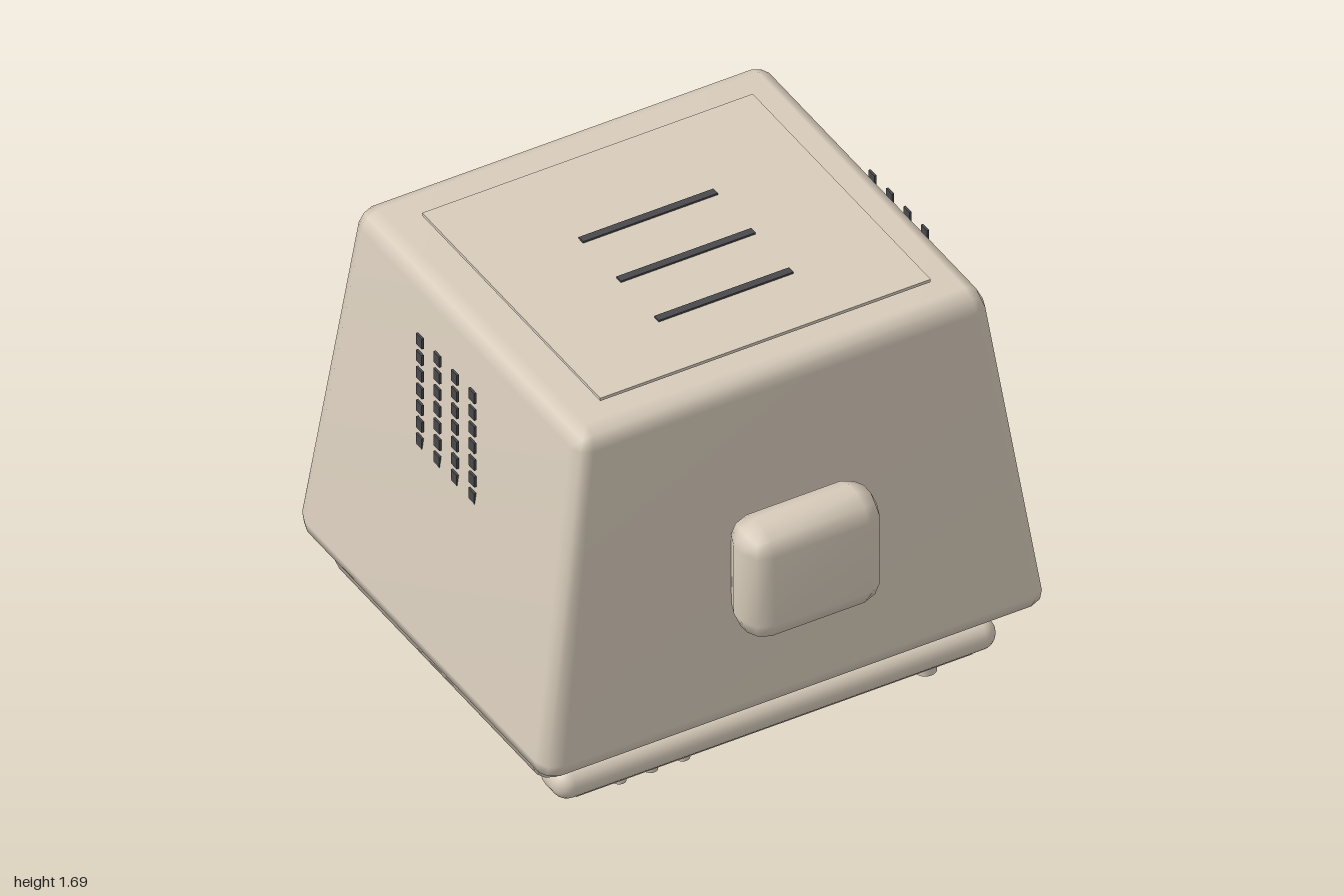
import * as THREE from 'three';
import { RoundedBoxGeometry } from 'three/addons/geometries/RoundedBoxGeometry.js';
import { mergeVertices } from 'three/addons/utils/BufferGeometryUtils.js';

const material = (name, color) => {
  const m = new THREE.MeshStandardMaterial({ color });
  m.name = name;
  return m;
};

// Box whose edges are rounded by two facets; taper gives x and z scale at the top
function bevelledBox(w, h, d, r, taperX = 1, taperZ = 1) {
  let g = new THREE.BoxGeometry(1, 1, 1, 3, 3, 3);
  const p = g.attributes.position;
  const core = new THREE.Vector3(w / 2 - r, h / 2 - r, d / 2 - r);
  const v = new THREE.Vector3();
  const outward = (c) => (Math.abs(c) > 0.4 ? Math.sign(c) : 0);
  for (let i = 0; i < p.count; i++) {
    v.fromBufferAttribute(p, i);
    const side = new THREE.Vector3(Math.sign(v.x), Math.sign(v.y), Math.sign(v.z));
    const dir = new THREE.Vector3(outward(v.x), outward(v.y), outward(v.z)).normalize();
    v.copy(core).multiply(side).addScaledVector(dir, r);
    const t = (v.y + core.y) / (2 * core.y);
    p.setXYZ(i, v.x * (1 + (taperX - 1) * t), v.y, v.z * (1 + (taperZ - 1) * t));
  }
  g.deleteAttribute('normal');
  g.deleteAttribute('uv');
  g = mergeVertices(g, 1e-5);
  g.computeVertexNormals();
  return g;
}

// Shallow bulging sheet facing down
function screenDome(w, d, bulge) {
  const g = new THREE.PlaneGeometry(w, d, 32, 24).rotateX(Math.PI / 2);
  const p = g.attributes.position;
  for (let i = 0; i < p.count; i++) {
    const u = (2 * p.getX(i)) / w;
    const v = (2 * p.getZ(i)) / d;
    p.setY(i, -bulge * (1 - u ** 8) * (1 - v ** 8));
  }
  g.computeVertexNormals();
  return g;
}

export function createModel() {
  const root = new THREE.Group();
  const beige = material('casing beige', 0xd8ccbb);
  const dark = material('vent charcoal', 0x49494d);
  const glass = material('screen grey', 0xd2cbb8);

  const add = (name, geometry, mat, x = 0, y = 0, z = 0, parent = root) => {
    const mesh = new THREE.Mesh(geometry, mat);
    mesh.name = name;
    mesh.position.set(x, y, z);
    parent.add(mesh);
    return mesh;
  };

  // Boxes given by their limits on each axis, optionally with rounded edges
  const box = (name, mat, [x0, x1], [y0, y1], [z0, z1], radius = 0, parent = root) => {
    const size = [x1 - x0, y1 - y0, z1 - z0];
    const g = radius ? bevelledBox(...size, radius) : new THREE.BoxGeometry(...size);
    return add(name, g, mat, (x0 + x1) / 2, (y0 + y1) / 2, (z0 + z1) / 2, parent);
  };

  const group = (name) => {
    const g = new THREE.Group();
    g.name = name;
    root.add(g);
    return g;
  };

  // Casing: narrows towards the top
  add('casing', bevelledBox(2, 1.382, 1.7, 0.073, 0.82, 0.902), beige, 0, 0.963, -0.08);

  // Top panel with its three slits
  box('topPanel', beige, [-0.655, 0.655], [1.67, 1.682], [-0.65, 0.55]);
  const slits = group('topSlits');
  for (const z of [-0.24, 0.015, 0.27]) {
    box('slit', dark, [-0.267, 0.267], [1.682, 1.689], [z - 0.015, z + 0.015], 0, slits);
  }

  // Vents on both sides
  const sideVents = group('sideVents');
  for (const x of [-0.897, 0.897]) {
    for (let row = 0; row < 7; row++) {
      for (let col = 0; col < 4; col++) {
        add('sideVent', new THREE.BoxGeometry(0.009, 0.045, 0.04), dark,
          x, 1.056 + row * 0.072, 0.1 - col * 0.118, sideVents);
      }
    }
  }

  // Vents across the back
  const backVents = group('backVents');
  for (let row = 0; row < 3; row++) {
    for (let col = 0; col < 8; col++) {
      add('backVent', new THREE.BoxGeometry(0.08, 0.04, 0.009), dark,
        -0.557 + col * 0.156, 0.957 + row * 0.134, -0.897, backVents);
    }
  }

  // Rounded foot on the front
  box('foot', beige, [-0.27, 0.27], [0.68, 1.142], [0.71, 0.928], 0.085);

  // Collar and stepped plates between casing and frame
  box('collar', beige, [-0.94, 0.94], [0.16, 0.29], [-0.82, 0.64], 0.064);
  box('upperStep', beige, [-0.87, 0.87], [0.14, 0.165], [-0.745, 0.5], 0.01);
  box('lowerStep', beige, [-0.83, 0.83], [0.118, 0.142], [-0.73, 0.48]);

  // Bulging screen with a dark surround, inside four rounded rails
  box('screenSurround', dark, [-0.79, 0.79], [0.11, 0.119], [-0.69, 0.43]);
  add('screen', screenDome(1.54, 1.1, 0.036), glass, 0, 0.122, -0.13);
  const rails = group('screenFrame');
  for (const z of [-0.71, 0.45]) {
    box('crossRail', beige, [-0.835, 0.835], [0.082, 0.12], [z - 0.04, z + 0.04], 0.018, rails);
  }
  for (const x of [-0.8, 0.8]) {
    box('sideRail', beige, [x - 0.03, x + 0.03], [0.085, 0.118], [-0.69, 0.43], 0.015, rails);
  }

  // Control bar with a thin strip, three buttons and a stepped knob
  add('controlBar', new RoundedBoxGeometry(1.75, 0.123, 0.177, 3, 0.06), beige, 0, 0.1235, 0.5685);
  box('controlStrip', beige, [-0.785, 0.785], [0.05, 0.066], [0.54, 0.61]);
  for (const x of [-0.59, -0.465, -0.338]) {
    add('button', new THREE.CylinderGeometry(0.027, 0.027, 0.035, 20), beige, x, 0.036, 0.565);
  }
  add('knob', new THREE.CylinderGeometry(0.041, 0.041, 0.032, 24), beige, 0.625, 0.033, 0.563);
  add('knobTip', new THREE.CylinderGeometry(0.02, 0.02, 0.025, 20), beige, 0.625, 0.0125, 0.563);

  return root;
}
